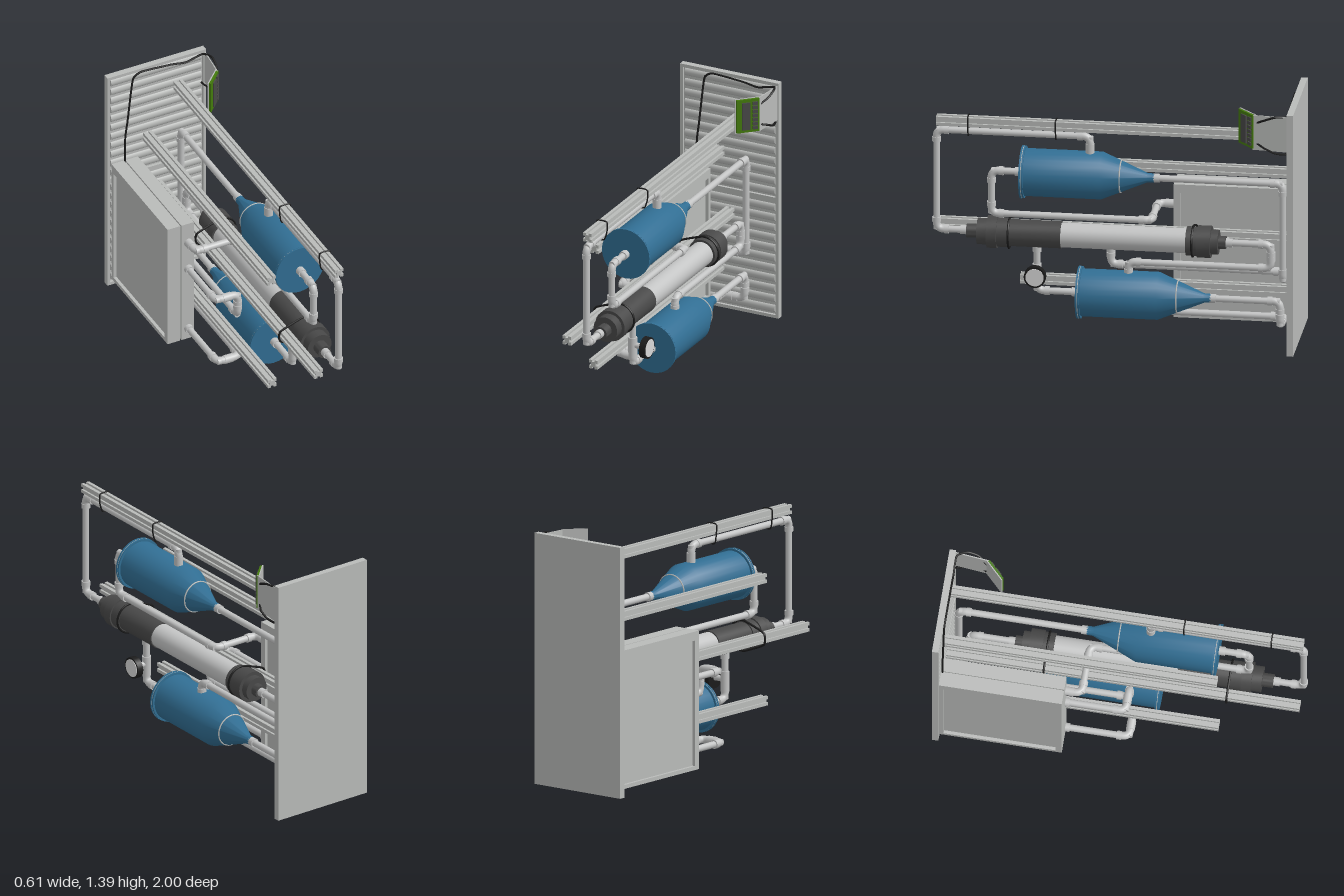
import * as THREE from 'three';
import { toCreasedNormals } from 'three/addons/utils/BufferGeometryUtils.js';

const mat = (name, color) => Object.assign(new THREE.MeshStandardMaterial({ color }), { name });
const V = (x, y, z) => new THREE.Vector3(x, y, z);

export function createModel() {
  const model = new THREE.Group();
  const steel = mat('steel grey', 0xb9bbb9);
  const plastic = mat('pipe grey', 0xc3c4c4);
  const blue = mat('tank blue', 0x316e93);
  const charcoal = mat('charcoal', 0x484848);
  const black = mat('black', 0x1b1b1b);
  const green = mat('board green', 0x437a0c);
  const white = mat('dial white', 0xd8d8d8);

  const add = (name, geo, m, parent = model) => {
    const mesh = new THREE.Mesh(geo, m);
    mesh.name = name;
    parent.add(mesh);
    return mesh;
  };
  const group = (name) => {
    const g = new THREE.Group();
    g.name = name;
    model.add(g);
    return g;
  };
  // box given by its two opposite corners
  const box = (name, x0, x1, y0, y1, z0, z1, m, parent) =>
    add(name, new THREE.BoxGeometry(x1 - x0, y1 - y0, z1 - z0)
      .translate((x0 + x1) / 2, (y0 + y1) / 2, (z0 + z1) / 2), m, parent);
  // cylinder between two points
  const rod = (name, a, b, r, m, parent, sides = 16) => {
    const mesh = add(name, new THREE.CylinderGeometry(r, r, a.distanceTo(b), sides), m, parent);
    mesh.position.copy(a).lerp(b, 0.5);
    mesh.quaternion.setFromUnitVectors(V(0, 1, 0), b.clone().sub(a).normalize());
    return mesh;
  };
  // turned part whose axis runs along z; profile is [z, radius], z ascending
  const turned = (name, profile, m, parent, x, y) => {
    const pts = profile.map(([z, r]) => new THREE.Vector2(r, z));
    const geo = toCreasedNormals(new THREE.LatheGeometry(pts, 28).rotateX(Math.PI / 2), 0.5);
    const mesh = add(name, geo, m, parent);
    mesh.position.set(x, y, 0);
    return mesh;
  };
  const wire = (name, pts, r, closed = false, parent = model) => add(name, new THREE.TubeGeometry(
    new THREE.CatmullRomCurve3(pts, closed, 'catmullrom', 0.3), pts.length * 8, r, 6, closed), black, parent);

  // Back panel: plate, raised border and two fields of horizontal ribs
  const panel = group('backPanel');
  box('plate', -0.305, 0.295, 0, 1.395, -1, -0.98, steel, panel);
  box('sideBorder', -0.305, -0.288, 0, 1.395, -0.98, -0.964, steel, panel);
  box('sideBorder', 0.278, 0.295, 0, 1.395, -0.98, -0.964, steel, panel);
  for (const [y0, y1] of [[0, 0.018], [0.688, 0.715], [1.377, 1.395]])
    box('crossBorder', -0.288, 0.278, y0, y1, -0.98, -0.964, steel, panel);
  for (const base of [0.05, 0.747]) for (let i = 0; i < 11; i++) {
    const rib = add('rib', new THREE.CylinderGeometry(0.022, 0.022, 0.55, 10).rotateZ(Math.PI / 2), steel, panel);
    rib.position.set(-0.005, base + i * 0.06, -0.98);
    rib.scale.z = 0.6;
  }

  // Flat cabinet of two slabs with recessed side faces
  const cabinet = group('cabinet');
  for (const [inner, outer] of [[-0.203, -0.28], [-0.196, -0.12]]) {
    const s = Math.sign(outer - inner), skin = outer - s * 0.018;
    const slab = (n, a, b, ...r) => box(n, Math.min(a, b), Math.max(a, b), ...r, steel, cabinet);
    slab('slab', inner, skin, 0.04, 0.81, -0.965, -0.29);
    slab('frame', skin, outer, 0.04, 0.062, -0.965, -0.29);
    slab('frame', skin, outer, 0.76, 0.81, -0.965, -0.29);
    slab('frame', skin, outer, 0.062, 0.76, -0.965, -0.94);
    slab('frame', skin, outer, 0.062, 0.76, -0.325, -0.29);
  }
  box('core', -0.203, -0.196, 0.05, 0.8, -0.965, -0.3, steel, cabinet);

  // Slotted rails
  const h = 0.026, w = 0.008, d = 0.011;
  const railShape = new THREE.Shape();
  for (let k = 0; k < 4; k++) {
    const c = Math.round(Math.cos(k * Math.PI / 2)), s = Math.round(Math.sin(k * Math.PI / 2));
    [[-h, -h], [-w, -h], [-w, -h + d], [w, -h + d], [w, -h]].forEach(([x, y], i) =>
      railShape[k || i ? 'lineTo' : 'moveTo'](x * c - y * s, x * s + y * c));
  }
  for (const [name, x, y, end] of [['topRail', 0.125, 1.213, 0.975], ['upperRail', -0.062, 0.932, 0.53],
    ['middleRail', 0.0, 0.577, 0.975], ['lowerRail', -0.062, 0.25, 0.54]]) {
    const geo = new THREE.ExtrudeGeometry(railShape, { depth: end + 0.968, bevelEnabled: false });
    add(name, geo, steel).position.set(x, y, -0.968);
  }

  // Cone-ended tanks with a clamped front lid
  for (const [name, y, z] of [['upperTank', 0.932, 0.51], ['lowerTank', 0.25, 0.2]]) {
    const tank = group(name);
    turned('shell', [[-0.73, 0], [-0.73, 0.024], [-0.69, 0.026], [-0.44, 0.131], [-0.022, 0.131], [-0.022, 0.143],
      [-0.013, 0.143], [-0.013, 0.135], [-0.009, 0.135], [-0.009, 0.145], [0, 0.145], [0, 0]], blue, tank, 0.12, y);
    const clamp = add('lidClamp', new THREE.TorusGeometry(0.138, 0.005, 6, 28), steel, tank);
    clamp.position.set(0.12, y, -0.011);
    const ring = add('coneRing', new THREE.TorusGeometry(0.088, 0.004, 6, 28), steel, tank);
    ring.position.set(0.12, y, -0.545);
    tank.position.z = z;
  }

  // Filter tube with stepped dark end caps
  const filter = group('filterTube');
  turned('body', [[-0.42, 0], [-0.42, 0.068], [0.3, 0.068], [0.3, 0]], plastic, filter, 0.12, 0.577);
  turned('frontCap', [[0.29, 0], [0.29, 0.074], [0.575, 0.074], [0.575, 0.081], [0.64, 0.081], [0.64, 0.089],
    [0.695, 0.089], [0.695, 0.072], [0.75, 0.072], [0.75, 0.038], [0.81, 0.038], [0.81, 0]], charcoal, filter, 0.12, 0.577);
  turned('rearCap', [[-0.61, 0], [-0.61, 0.036], [-0.57, 0.036], [-0.57, 0.068], [-0.53, 0.068], [-0.53, 0.088],
    [-0.455, 0.088], [-0.455, 0.08], [-0.395, 0.08], [-0.395, 0]], charcoal, filter, 0.12, 0.577);

  // Straps tying the filter tube to its rail, and the top pipe to the top rail
  for (const z of [-0.43, 0.575]) {
    const pts = [V(-0.03, 0.61, z), V(-0.03, 0.545, z)];
    for (let a = -110; a <= 110; a += 20) {
      const t = a * Math.PI / 180;
      pts.push(V(0.12 + 0.085 * Math.cos(t), 0.577 + 0.085 * Math.sin(t), z));
    }
    wire('filterStrap', pts, 0.006, true);
  }
  for (const z of [0.32, 0.8])
    wire('pipeStrap', [V(0.095, 1.242, z), V(0.155, 1.242, z), V(0.155, 1.185, z), V(0.138, 1.135, z),
      V(0.105, 1.135, z), V(0.095, 1.185, z)], 0.004, true);

  // Pipe runs: straight tubes, fat elbows and end collars
  const pipe = (name, list) => {
    const g = group(name), p = list.map((q) => V(...q)), cut = 0.042;
    const toward = (a, b, len) => a.clone().add(b.clone().sub(a).setLength(len));
    for (let i = 0; i + 1 < p.length; i++) {
      const len = p[i].distanceTo(p[i + 1]);
      rod('tube', i ? toward(p[i], p[i + 1], Math.min(cut, len / 2) - 0.01) : p[i], p[i + 1], 0.0185, plastic, g)
        .visible = true;
    }
    for (let i = 1; i + 1 < p.length; i++) {
      const a = toward(p[i], p[i - 1], cut), b = toward(p[i], p[i + 1], cut);
      const curve = new THREE.QuadraticBezierCurve3(a, p[i].clone(), b);
      add('elbow', new THREE.TubeGeometry(curve, 8, 0.0215, 16), plastic, g);
      for (const [e, n] of [[a, p[i - 1]], [b, p[i + 1]]]) rod('collar', e, toward(e, n, 0.026), 0.0245, plastic, g);
    }
    for (const [e, n] of [[p[0], p[1]], [p[p.length - 1], p[p.length - 2]]])
      rod('endCollar', e, toward(e, n, 0.035), 0.0245, plastic, g);
  };
  const X = 0.12, L = -0.155, M = -0.02;
  pipe('topPipe', [[X, 1.055, 0.135], [X, 1.155, 0.135], [X, 1.155, 0.975], [X, 0.58, 0.975], [X, 0.58, 0.81]]);
  pipe('upperFrontPipe', [[X, 0.932, 0.51], [X, 0.932, 0.675], [X, 0.685, 0.675], [X, 0.685, -0.2],
    [L, 0.685, -0.2], [L, 0.685, -0.3]]);
  pipe('upperRearPipe', [[X, 0.932, -0.21], [X, 0.932, -0.92], [X, 0.37, -0.92], [M, 0.37, -0.92], [M, 0.37, 0.04],
    [M, 0.51, 0.04], [L, 0.51, 0.04], [L, 0.51, -0.3]]);
  pipe('filterRearPipe', [[X, 0.365, -0.075], [X, 0.44, -0.075], [X, 0.44, -0.855], [X, 0.577, -0.855], [X, 0.577, -0.61]]);
  pipe('lowerRearPipe', [[X, 0.25, -0.52], [X, 0.25, -0.905], [X, 0.11, -0.905], [M, 0.11, -0.905], [M, 0.11, 0.06],
    [L, 0.11, 0.06], [L, 0.11, -0.3]]);
  pipe('lowerFrontPipe', [[X, 0.51, 0.425], [X, 0.25, 0.425], [X, 0.25, 0.2]]);

  // Pressure gauge
  const gauge = group('gauge'), gy = 0.36, gz = 0.425;
  rod('tee', V(X, gy - 0.045, gz), V(X, gy + 0.045, gz), 0.025, plastic, gauge);
  rod('stem', V(X, gy, gz), V(0.19, gy, gz), 0.016, plastic, gauge);
  rod('case', V(0.187, gy, gz), V(0.222, gy, gz), 0.06, black, gauge, 24);
  rod('dial', V(0.22, gy, gz), V(0.225, gy, gz), 0.05, white, gauge, 24);

  // Angled bracket with the control board
  const bracket = group('controlBracket');
  const arm = box('arm', -0.003, 0.003, 1.18, 1.38, -0.1, 0.1, steel, bracket);
  arm.position.set(0.278, 0, -0.872);
  arm.rotation.y = -0.1;
  const control = group('controlBoard');
  control.position.set(0.225, 1.283, -0.735);
  control.rotation.y = Math.PI / 4;
  box('backing', -0.07, 0.07, -0.103, 0.1, -0.012, -0.006, steel, control);
  box('board', -0.064, 0.064, -0.097, 0.097, -0.006, 0.006, green, control);
  box('display', -0.034, 0.012, -0.08, 0.08, 0.006, 0.014, charcoal, control);
  for (let i = 0; i < 7; i++) {
    const y = -0.072 + i * 0.024;
    box('button', 0.026, 0.054, y - 0.009, y + 0.009, 0.006, 0.014, charcoal, control);
  }

  // Cables along the back panel
  wire('longCable', [V(0.262, 1.33, -0.79), V(0.295, 1.36, -0.84), V(0.298, 1.382, -0.9), V(0.27, 1.375, -0.957),
    V(0.17, 1.352, -0.958), V(0.08, 1.366, -0.958), V(-0.1, 1.378, -0.958), V(-0.15, 1.35, -0.958),
    V(-0.165, 1.26, -0.958), V(-0.185, 1.08, -0.958), V(-0.2, 0.96, -0.958), V(-0.2, 0.8, -0.958)], 0.006);
  wire('shortCable', [V(0.262, 1.22, -0.79), V(0.293, 1.2, -0.84), V(0.292, 1.172, -0.9), V(0.28, 1.165, -0.957),
    V(0.26, 1.19, -0.962)], 0.006);

  return model;
}
